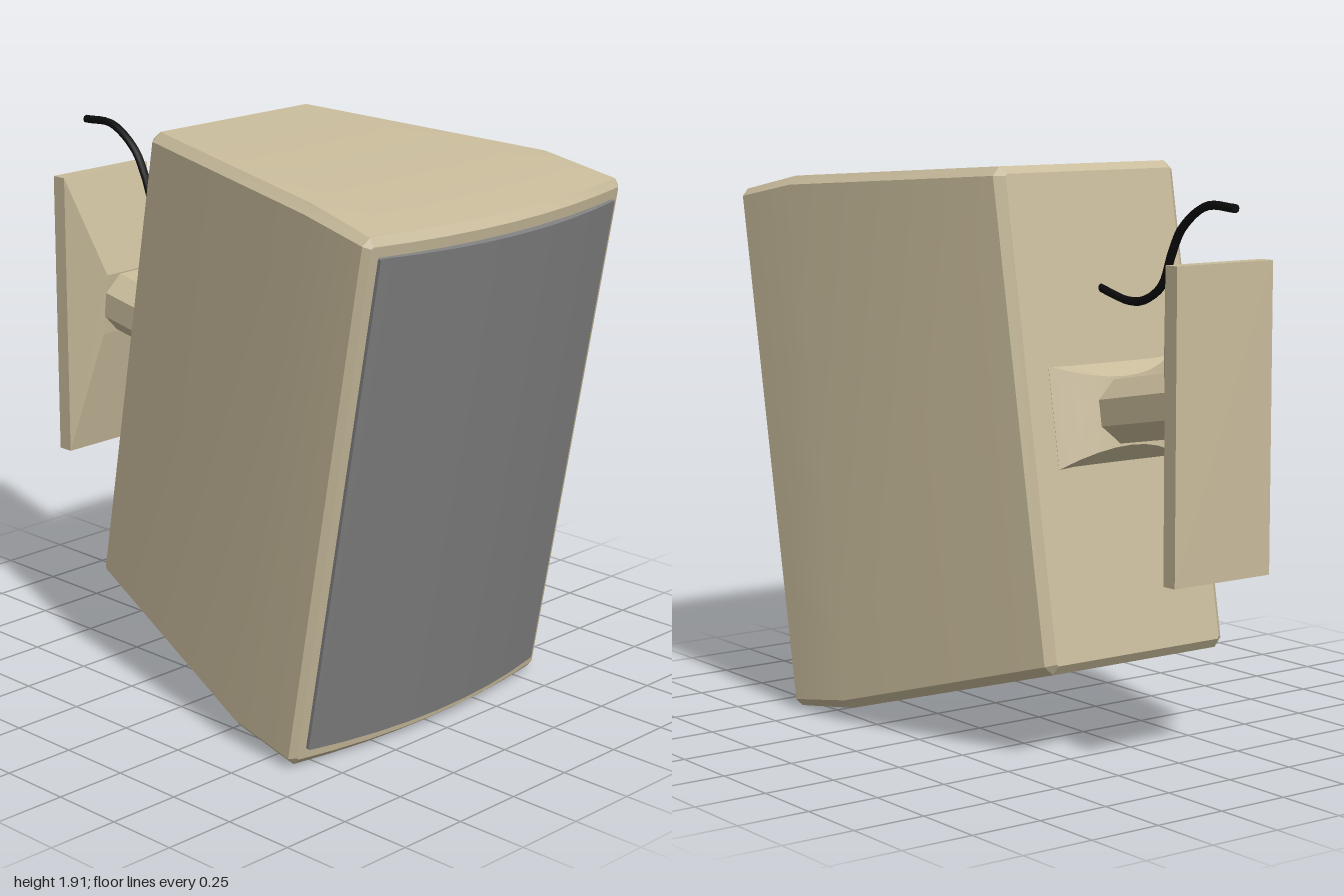
import * as THREE from 'three';
import { toCreasedNormals } from 'three/addons/utils/BufferGeometryUtils.js';

const TILT = THREE.MathUtils.degToRad(10);
const COLS = 8;

// Lofts chamfered rectangles from back to front. Each section is
// { z, w, h, c, bulge, taper }: half width, half height, corner chamfer,
// a bow in z across the width, and how much that bow lowers the height.
function loft(sections) {
  const pos = [];
  const quad = (a, b, c, d) => [a, b, c, a, c, d].forEach(v => pos.push(...v));
  const rows = sections.map(({ z, w, h, c, bulge = 0, taper = 0 }) => {
    const xs = [-w];
    for (let i = 0; i <= COLS; i++) xs.push((w - c) * (2 * i / COLS - 1));
    xs.push(w);
    return xs.map((x, i) => {
      const bow = 1 - (x / w) ** 2;
      const y = (i === 0 || i === xs.length - 1 ? h - c : h) - taper * bow;
      const zz = z + bulge * bow;
      return { t: [x, y, zz], b: [x, -y, zz] };
    });
  });
  const last = COLS + 2;
  const back = rows[0], front = rows[rows.length - 1];
  for (let i = 0; i < last; i++) {
    quad(front[i].b, front[i + 1].b, front[i + 1].t, front[i].t);
    quad(back[i].t, back[i + 1].t, back[i + 1].b, back[i].b);
  }
  for (let s = 0; s + 1 < rows.length; s++) {
    const p = rows[s], q = rows[s + 1];
    for (let i = 0; i < last; i++) {
      quad(p[i].t, q[i].t, q[i + 1].t, p[i + 1].t);
      quad(p[i + 1].b, q[i + 1].b, q[i].b, p[i].b);
    }
    quad(p[last].t, q[last].t, q[last].b, p[last].b);
    quad(p[0].b, q[0].b, q[0].t, p[0].t);
  }
  const geo = new THREE.BufferGeometry();
  geo.setAttribute('position', new THREE.Float32BufferAttribute(pos, 3));
  return toCreasedNormals(geo, 0.35);
}

export function createModel() {
  const model = new THREE.Group();
  model.name = 'wallSpeaker';
  const beige = new THREE.MeshStandardMaterial({ color: 0xc8bb9b });
  const grey = new THREE.MeshStandardMaterial({ color: 0x808080 });
  const black = new THREE.MeshStandardMaterial({ color: 0x0c0c0c });

  const add = (parent, name, geo, mat) => {
    const mesh = new THREE.Mesh(geo, mat);
    mesh.name = name;
    parent.add(mesh);
    return mesh;
  };

  // Everything that leans forward; its origin is the middle of the cabinet
  const head = new THREE.Group();
  head.name = 'tiltedHead';
  head.rotation.x = TILT;
  head.position.set(0, 1.02 * Math.cos(TILT), 1.02 * Math.sin(TILT));
  model.add(head);

  // Cabinet: narrow back, slight kink towards the front, bowed front
  add(head, 'cabinet', loft([
    { z: -0.597, w: 0.34, h: 0.79, c: 0.006 },
    { z: -0.57, w: 0.37, h: 0.818, c: 0.03 },
    { z: 0.32, w: 0.575, h: 0.913, c: 0.03 },
    { z: 0.59, w: 0.6, h: 0.905, c: 0.025, bulge: 0.05 },
    { z: 0.61, w: 0.58, h: 0.88, c: 0.006, bulge: 0.055 },
  ]), beige);

  // Grille: bowed panel standing proud of the front
  add(head, 'grille', loft([
    { z: 0.58, w: 0.55, h: 0.845, c: 0.004 },
    { z: 0.627, w: 0.55, h: 0.845, c: 0.004, bulge: 0.061 },
  ]), grey);

  // Curved socket on the back
  add(head, 'socket', loft([
    { z: -0.598, w: 0.25, h: 0.167, c: 0.002, bulge: -0.07, taper: 0.055 },
    { z: -0.59, w: 0.25, h: 0.167, c: 0.002 },
  ]), beige);

  // Eight-sided arm
  const arm = new THREE.CylinderGeometry(0.113, 0.113, 0.38, 8).toNonIndexed();
  arm.rotateY(Math.PI / 8);
  arm.rotateX(Math.PI / 2);
  arm.translate(0, 0, -0.83);
  arm.computeVertexNormals();
  add(head, 'arm', arm, beige);

  // Wall plate with a pyramid foot narrowing to the tilted arm
  add(model, 'wallPlate', new THREE.BoxGeometry(0.39, 1, 0.055), beige)
    .position.set(0, 1.13, -0.9275);
  const foot = new THREE.BoxGeometry(0.39, 1, 0.1).toNonIndexed();
  const p = foot.attributes.position;
  for (let i = 0; i < p.count; i++) {
    const top = p.getY(i) > 0;
    if (p.getZ(i) > 0) p.setXYZ(i, p.getX(i) * 0.53, top ? 1.285 : 1.065, top ? -0.785 : -0.81);
    else p.setXYZ(i, p.getX(i), p.getY(i) + 1.13, -0.9);
  }
  foot.computeVertexNormals();
  add(model, 'plateFoot', foot, beige);

  // Cable from the back of the cabinet to the wall
  const path = new THREE.CatmullRomCurve3([
    [1.51, -0.33], [1.49, -0.41], [1.477, -0.48], [1.485, -0.56], [1.54, -0.65],
    [1.64, -0.695], [1.725, -0.745], [1.8, -0.86], [1.8, -1],
  ].map(([y, z]) => new THREE.Vector3(0, y, z)));
  add(model, 'cable', new THREE.TubeGeometry(path, 32, 0.014, 8), black);
  [0, 1].forEach(t => {
    const cap = add(model, 'cableEnd', new THREE.CircleGeometry(0.014, 8), black);
    const at = path.getPoint(t);
    cap.position.copy(at);
    cap.lookAt(at.clone().addScaledVector(path.getTangent(t), t ? 1 : -1));
  });

  return model;
}
